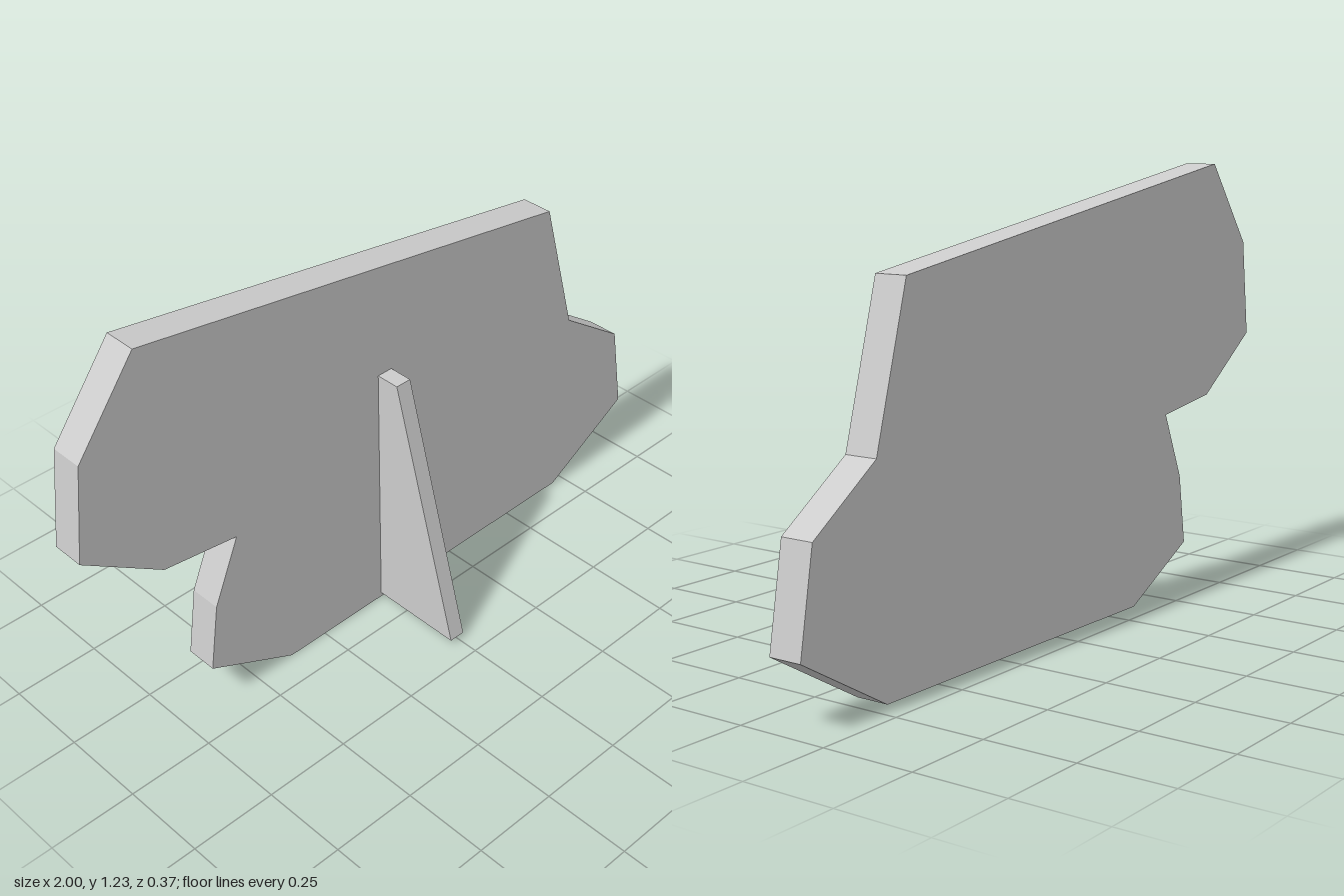
import * as THREE from 'three';

// Flat board cut from an outline, depth along +z
function cutBoard(points, depth) {
  const shape = new THREE.Shape(points.map(([x, y]) => new THREE.Vector2(x, y)));
  return new THREE.ExtrudeGeometry(shape, { depth, bevelEnabled: false });
}

export function createModel() {
  const group = new THREE.Group();
  group.name = 'standingCutout';
  const grey = new THREE.MeshStandardMaterial({ color: 0xcccccc });
  grey.name = 'light grey';

  // Upright silhouette panel
  const outline = [
    [-0.375, 0], [0.07, 0.003], [0.705, 0.006], [1, 0.177], [0.955, 0.443],
    [0.735, 0.595], [0.622, 1.005], [-0.787, 1.225], [-0.967, 0.99], [-1, 0.715],
    [-0.765, 0.555], [-0.535, 0.525], [-0.617, 0.335], [-0.647, 0.135],
  ];
  const panel = new THREE.Mesh(cutBoard(outline, 0.093).translate(0, 0, -0.187), grey);
  panel.name = 'panel';
  group.add(panel);

  // Sloping support fin, outlined in z and y, then turned to face sideways
  const finOutline = [[-0.094, 0.016], [0.187, 0.016], [-0.024, 0.777], [-0.094, 0.777]];
  const fin = new THREE.Mesh(
    cutBoard(finOutline, 0.048).rotateY(-Math.PI / 2).translate(0.016, 0, 0), grey);
  fin.name = 'supportFin';
  group.add(fin);

  return group;
}
